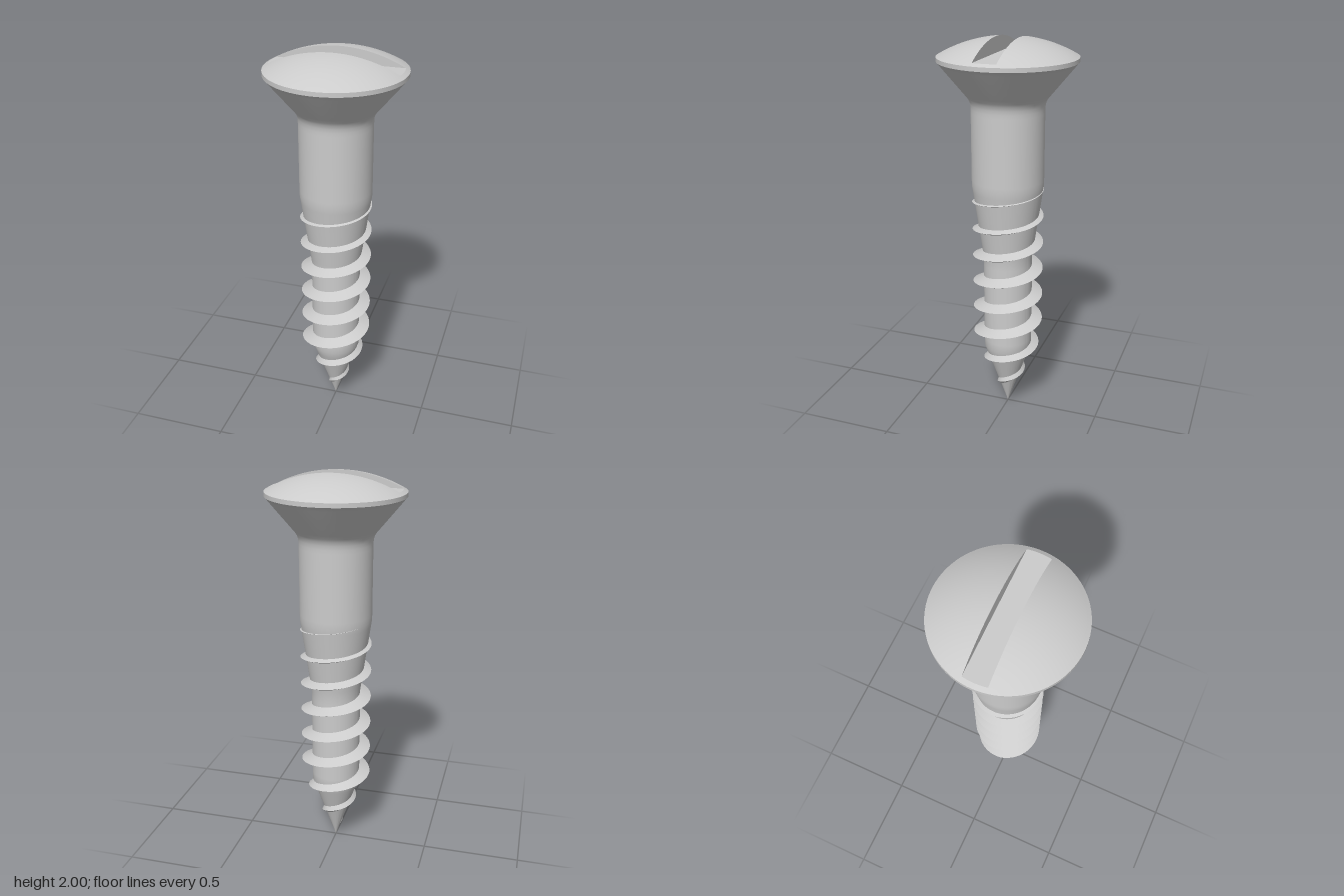
import * as THREE from 'three';
import { toCreasedNormals } from 'three/addons/utils/BufferGeometryUtils.js';

const CREASE = 0.4;
const HEAD_R = 0.343, DOME_R = 0.685;       // head radius, radius of the domed top
const SLOT_W = 0.058, SLOT_Y = 1.92;        // slot half width and floor height
const SHANK_R = 0.182, CORE_R = 0.126;
const FLOOR_R = Math.sqrt(DOME_R ** 2 - (DOME_R - 2 + SLOT_Y) ** 2);

const domeY = r => 2 - DOME_R + Math.sqrt(DOME_R ** 2 - r * r);
const clamp = THREE.MathUtils.clamp;

// Radius of the threaded core: pointed tip, straight core, taper up to the shank
function coreRadius(y) {
  if (y < 0.365) return CORE_R * Math.max(y, 0) / 0.365;
  return CORE_R + (SHANK_R - CORE_R) * clamp((y - 0.88) / 0.39, 0, 1);
}

// Turned body: tip, core, shank, countersunk cone, rim and slot floor
function bodyGeometry() {
  const pts = [];
  for (const y of [0, 0.1, 0.2, 0.32, 0.365, 0.41, 0.6, 0.84, 0.88, 0.92, 1.08, 1.24, 1.27, 1.3, 1.5, 1.64]) {
    pts.push(new THREE.Vector2(coreRadius(y), y));
  }
  pts.push(...[[0.182, 1.66], [0.184, 1.68], [0.19, 1.7], [0.2, 1.715], [0.215, 1.733], [0.325, 1.866],
    [HEAD_R - 0.003, 1.885], [HEAD_R, 1.887]].map(p => new THREE.Vector2(...p)));
  for (let i = 0; i <= 2; i++) {
    const r = THREE.MathUtils.lerp(HEAD_R, FLOOR_R, i / 2);
    pts.push(new THREE.Vector2(r, domeY(r)));
  }
  pts.push(new THREE.Vector2(0, SLOT_Y));
  return toCreasedNormals(new THREE.LatheGeometry(pts, 96), CREASE);
}

// Right-handed helical ridge with a triangular section, sunk slightly into the core
function threadGeometry() {
  const start = -2.65, end = 5.4, half = 0.029, steps = 580;
  const pos = [], idx = [];
  for (let i = 0; i <= steps; i++) {
    const t = start + (end - start) * i / steps;
    const y = 0.48 + t * (t < 0 ? 0.161 : 0.1455);
    const a = t * Math.PI * 2;
    const root = h => Math.max(Math.min(coreRadius(h), CORE_R) - 0.006, 0);
    const fade = clamp((t - start) / 0.25, 0, 1);
    const crest = THREE.MathUtils.lerp(root(y), Math.min(SHANK_R, 0.45 * y), fade);
    for (const [r, h] of [[root(y - half), y - half], [crest, y], [root(y + half), y + half]]) {
      pos.push(r * Math.cos(a), h, -r * Math.sin(a));
    }
    if (i === steps) continue;
    for (let k = 0; k < 2; k++) {
      const p = i * 3 + k, q = p + 3;
      idx.push(p, q, p + 1, q, q + 1, p + 1);
    }
  }
  const g = new THREE.BufferGeometry();
  g.setAttribute('position', new THREE.Float32BufferAttribute(pos, 3));
  g.setIndex(idx);
  g.computeVertexNormals();
  return toCreasedNormals(g, CREASE);
}

// Domed cap on one side of the slot
function domeGeometry() {
  const g = new THREE.PlaneGeometry(2, 1, 48, 32);
  const p = g.attributes.position, n = g.attributes.normal;
  const a0 = Math.asin(SLOT_W / FLOOR_R);
  const v = new THREE.Vector3();
  for (let i = 0; i < p.count; i++) {
    const a = THREE.MathUtils.lerp(a0, Math.PI / 2, 0.5 - p.getY(i));
    const x = FLOOR_R * Math.cos(a) * p.getX(i), z = FLOOR_R * Math.sin(a);
    const y = domeY(Math.hypot(x, z));
    p.setXYZ(i, x, y, z);
    v.set(x, y - 2 + DOME_R, z).normalize();
    n.setXYZ(i, v.x, v.y, v.z);
  }
  return g;
}

// Upright wall of the slot, arched along the dome
function wallGeometry() {
  const w = Math.sqrt(FLOOR_R ** 2 - SLOT_W ** 2);
  const pts = [];
  for (let i = 0; i <= 48; i++) {
    const x = w * (1 - i / 24);
    pts.push(new THREE.Vector2(x, domeY(Math.hypot(x, SLOT_W))));
  }
  return new THREE.ShapeGeometry(new THREE.Shape(pts));
}

export function createModel() {
  const group = new THREE.Group();
  group.name = 'woodScrew';
  const material = new THREE.MeshStandardMaterial({ color: 0xcccccc });
  const add = (parent, name, geometry) => {
    const mesh = new THREE.Mesh(geometry, material);
    mesh.name = name;
    parent.add(mesh);
    return mesh;
  };

  add(group, 'body', bodyGeometry());
  add(group, 'thread', threadGeometry());

  // Two halves of the slotted dome
  const dome = domeGeometry(), wall = wallGeometry();
  ['frontDome', 'backDome'].forEach((name, i) => {
    const half = new THREE.Group();
    half.name = name;
    half.rotation.y = i * Math.PI;
    add(half, 'domeTop', dome);
    const side = add(half, 'slotWall', wall);
    side.position.z = SLOT_W;
    side.rotation.y = Math.PI;
    group.add(half);
  });
  return group;
}
